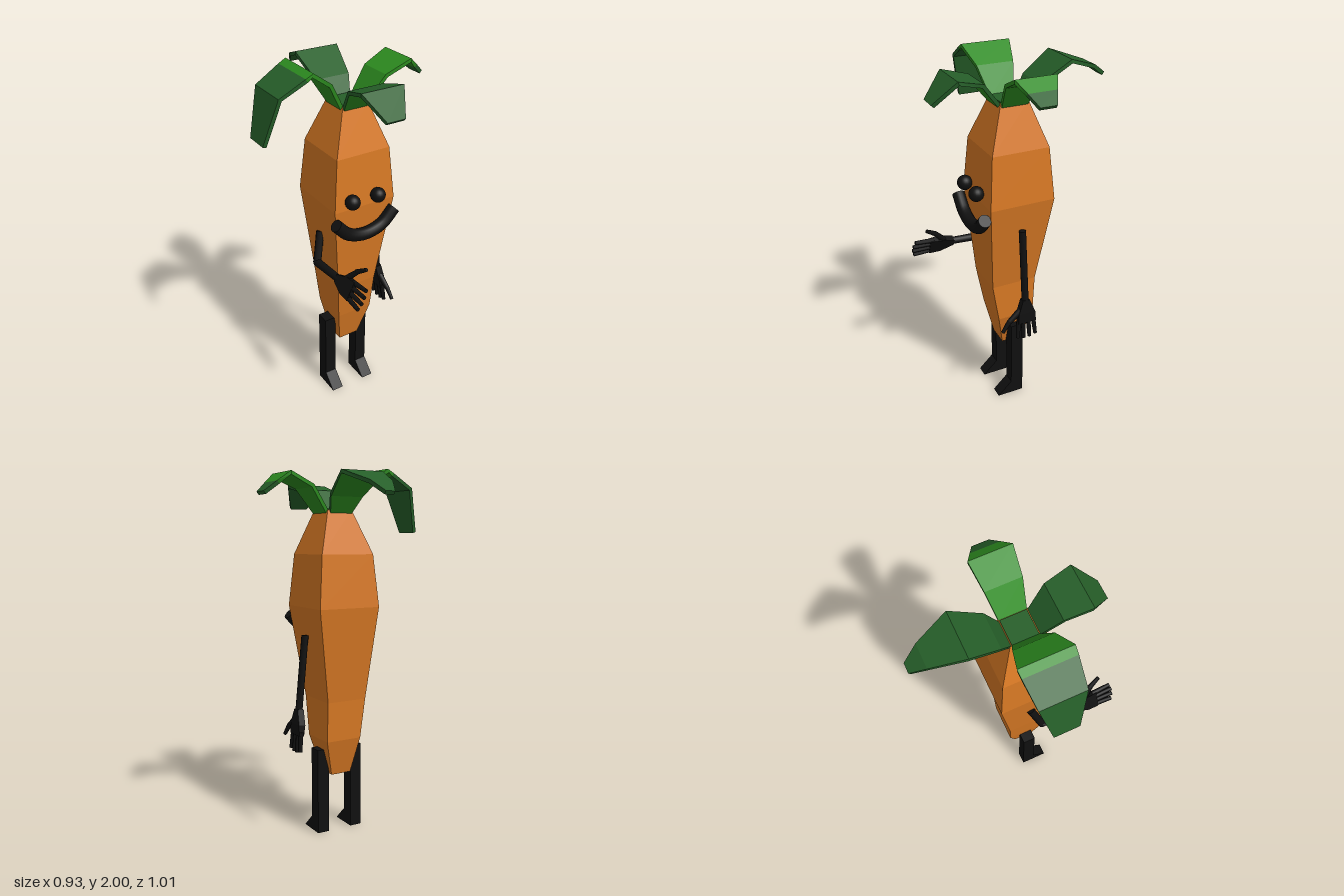
import * as THREE from 'three';

const mat = (name, color) => {
  const m = new THREE.MeshStandardMaterial({ color });
  m.name = name;
  return m;
};
const V = (x, y, z) => new THREE.Vector3(x, y, z);

// Flat-faced skin over four-cornered rings; pick(segment, side) gives a material index
function loft(rings, pick = () => 0) {
  const pos = [], geo = new THREE.BufferGeometry();
  const quad = (a, b, c, d, m) => {
    geo.addGroup(pos.length / 3, 6, m);
    for (const p of [a, b, c, a, c, d]) pos.push(p.x, p.y, p.z);
  };
  for (let s = 0; s < rings.length - 1; s++) {
    const a = rings[s], b = rings[s + 1];
    for (let i = 0; i < 4; i++) {
      const j = (i + 1) % 4;
      quad(a[i], a[j], b[j], b[i], pick(s, i));
    }
  }
  const f = rings[0], l = rings[rings.length - 1];
  quad(f[3], f[2], f[1], f[0], pick(0, 0));
  quad(l[0], l[1], l[2], l[3], pick(rings.length - 2, 2));
  geo.setAttribute('position', new THREE.Float32BufferAttribute(pos, 3));
  geo.computeVertexNormals();
  return geo;
}

// Horizontal rectangle ring
const level = ([y, x0, x1, z0, z1]) => [V(x0, y, z0), V(x0, y, z1), V(x1, y, z1), V(x1, y, z0)];

export function createModel() {
  const model = new THREE.Group();
  model.name = 'carrotFigure';
  const orange = mat('carrot orange', 0xd67824);
  const black = mat('black', 0x101010);
  const bright = mat('bright leaf green', 0x2d8c20);
  const dark = mat('dark leaf green', 0x265f29);

  const add = (parent, name, geo, material) => {
    const m = new THREE.Mesh(geo, material);
    m.name = name;
    parent.add(m);
    return m;
  };
  const rod = (parent, name, a, b, ra, rb = ra) => {
    const d = b.clone().sub(a);
    const geo = new THREE.CylinderGeometry(rb, ra, d.length(), 8);
    const m = add(parent, name, geo, black);
    m.position.copy(a).addScaledVector(d, 0.5);
    m.quaternion.setFromUnitVectors(V(0, 1, 0), d.normalize());
    return m;
  };

  // Four-sided tapering body
  add(model, 'body', loft([
    [0.335, -0.035, 0.085, -0.03, 0.085],
    [0.54, -0.07, 0.14, -0.08, 0.13],
    [0.76, -0.095, 0.14, -0.09, 0.165],
    [1.27, -0.14, 0.22, -0.153, 0.205],
    [1.55, -0.115, 0.195, -0.13, 0.183],
    [1.78, -0.03, 0.115, -0.05, 0.1],
  ].map(level)), [orange]);

  // Crown of four bent leaves: [reach, height, half width] along each leaf
  const crown = new THREE.Group();
  crown.name = 'leafCrown';
  crown.position.set(0.038, 0, 0.027);
  model.add(crown);
  add(crown, 'crownBase', new THREE.BoxGeometry(0.135, 0.009, 0.135), dark).position.y = 1.782;
  const leaf = (name, turn, pts, isDark) => {
    const rings = pts.map(([r, y, h], i) => {
      const p = pts[Math.max(i - 1, 0)], q = pts[Math.min(i + 1, pts.length - 1)];
      const n = V(0, q[0] - p[0], p[1] - q[1]).normalize().multiplyScalar(0.02);
      return [V(-h, y - n.y, r - n.z), V(h, y - n.y, r - n.z), V(h, y, r), V(-h, y, r)];
    });
    const pick = (s, side) => (isDark(s, side) ? 1 : 0);
    add(crown, name, loft(rings, pick), [bright, dark]).rotation.y = turn;
  };
  leaf('frontLeaf', 0, [
    [0.068, 1.775, 0.068], [0.165, 1.895, 0.1], [0.303, 1.93, 0.118], [0.415, 1.815, 0.05],
  ], (s, side) => side > 0 || s === 2);
  leaf('leftLeaf', Math.PI / 2, [
    [0.068, 1.775, 0.07], [0.165, 1.905, 0.093], [0.302, 1.965, 0.109],
    [0.365, 1.915, 0.075], [0.425, 1.865, 0.043],
  ], (s) => s === 3);
  leaf('backLeaf', Math.PI, [
    [0.068, 1.775, 0.065], [0.13, 1.86, 0.095], [0.287, 1.965, 0.122],
    [0.457, 1.905, 0.065], [0.535, 1.85, 0.027],
  ], (s, side) => side > 0 || s === 3);
  leaf('rightLeaf', -Math.PI / 2, [
    [0.06, 1.775, 0.065], [0.143, 1.915, 0.1], [0.26, 1.998, 0.133],
    [0.3, 1.978, 0.13], [0.433, 1.905, 0.115], [0.5, 1.67, 0.065],
  ], (s) => s > 2);

  // Eyes
  for (const [name, x] of [['rightEye', -0.053], ['leftEye', 0.1]]) {
    add(model, name, new THREE.SphereGeometry(0.04, 20, 14), black).position.set(x, 1.325, 0.232);
  }

  // Smile: a bent tube with flat ends
  const curve = new THREE.CatmullRomCurve3(
    [[-0.178, 0.1], [-0.1, 0.025], [0, 0], [0.1, 0.025], [0.178, 0.1]]
      .map(([x, y]) => V(0.027 + x, 1.12 + y, 0.232)));
  add(model, 'smile', new THREE.TubeGeometry(curve, 20, 0.034, 14), black);
  for (const t of [0, 1]) {
    const cap = add(model, 'smileEnd', new THREE.CircleGeometry(0.034, 14), black);
    cap.position.copy(curve.getPoint(t));
    cap.lookAt(cap.position.clone().addScaledVector(curve.getTangent(t), t ? 1 : -1));
  }

  // Legs with wedge feet, cut from a side outline
  const outline = new THREE.Shape([[0.01, 0], [0.01, 0.48], [-0.063, 0.48], [-0.063, 0.08], [-0.145, 0]]
    .map(([x, y]) => new THREE.Vector2(x, y)));
  const legGeo = new THREE.ExtrudeGeometry(outline, { depth: 0.068, bevelEnabled: false });
  legGeo.rotateY(Math.PI / 2);
  for (const [name, x] of [['rightLeg', -0.118], ['leftLeg', 0.092]]) {
    add(model, name, legGeo, black).position.x = x;
  }

  // Hand pointing down from the wrist, thumb toward +z
  const hand = (name) => {
    const g = new THREE.Group();
    g.name = name;
    add(g, 'palm', loft([
      [-0.14, -0.014, 0.014, -0.055, 0.05],
      [-0.08, -0.019, 0.019, -0.05, 0.048],
      [0, -0.018, 0.018, -0.02, 0.02],
    ].map(level)), [black]);
    for (const z of [-0.043, -0.014, 0.015, 0.043]) {
      const tip = -0.24 + Math.abs(z) * 0.3;
      rod(g, 'finger', V(0, -0.12, z), V(0, tip, z * 1.25), 0.014, 0.011);
    }
    rod(g, 'thumbBase', V(0, -0.06, 0.03), V(0, -0.115, 0.1), 0.018, 0.014);
    rod(g, 'thumbTip', V(0, -0.11, 0.097), V(0, -0.17, 0.142), 0.014, 0.01);
    model.add(g);
    return g;
  };

  // Left arm hangs straight down
  rod(model, 'leftArm', V(0.215, 1.12, 0.027), V(0.257, 0.7, 0.027), 0.02);
  const leftHand = hand('leftHand');
  leftHand.position.set(0.255, 0.72, 0.027);
  leftHand.rotation.z = 0.1;

  // Right arm bends forward with an open hand
  rod(model, 'rightUpperArm', V(-0.12, 1.07, 0.02), V(-0.17, 0.915, 0.07), 0.022);
  add(model, 'rightElbow', new THREE.SphereGeometry(0.023, 8, 6), black).position.set(-0.17, 0.915, 0.07);
  rod(model, 'rightForearm', V(-0.17, 0.915, 0.07), V(-0.165, 0.93, 0.29), 0.023, 0.02);
  const rightHand = hand('rightHand');
  rightHand.position.set(-0.165, 0.93, 0.27);
  rightHand.setRotationFromMatrix(new THREE.Matrix4().makeBasis(
    V(0.9, -0.436, 0), V(0, 0, -1), V(0.436, 0.9, 0)));

  return model;
}
